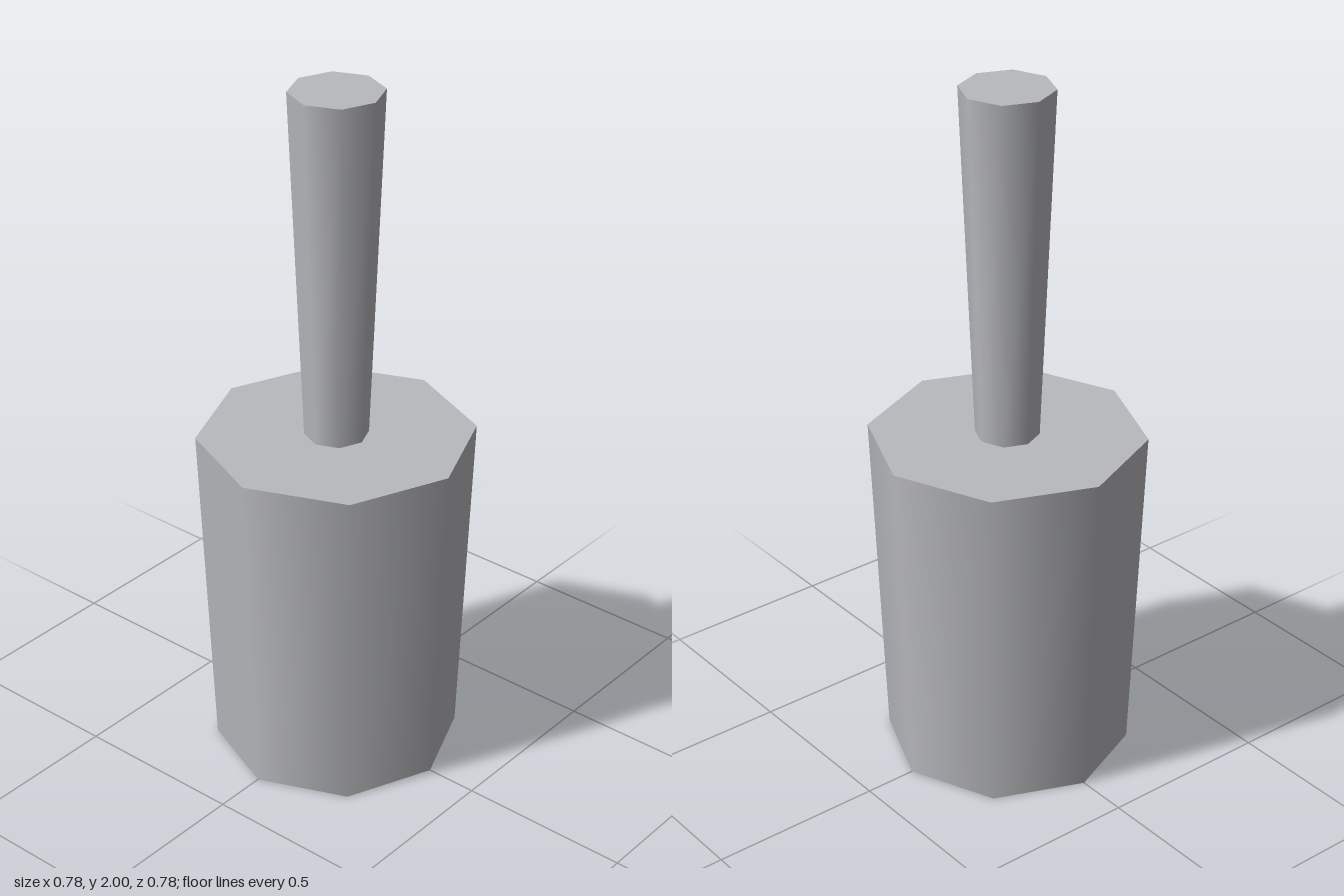
import * as THREE from 'three';

const SIDES = 8;

export function createModel() {
  const model = new THREE.Group();
  model.name = 'mallet';

  const grey = new THREE.MeshStandardMaterial({ color: 0xb8b9bd });
  grey.name = 'light grey';

  // Tapered eight-sided post, smooth around the side, between two heights
  function taperedPost(name, topRadius, bottomRadius, bottom, top) {
    const geometry = new THREE.CylinderGeometry(topRadius, bottomRadius, top - bottom, SIDES);
    const mesh = new THREE.Mesh(geometry, grey);
    mesh.name = name;
    mesh.position.y = (bottom + top) / 2;
    model.add(mesh);
  }

  // Heavy head standing on the ground, with the handle flaring upwards
  taperedPost('head', 0.39, 0.35, 0, 0.99);
  taperedPost('handle', 0.13, 0.09, 0.99, 2);

  return model;
}
